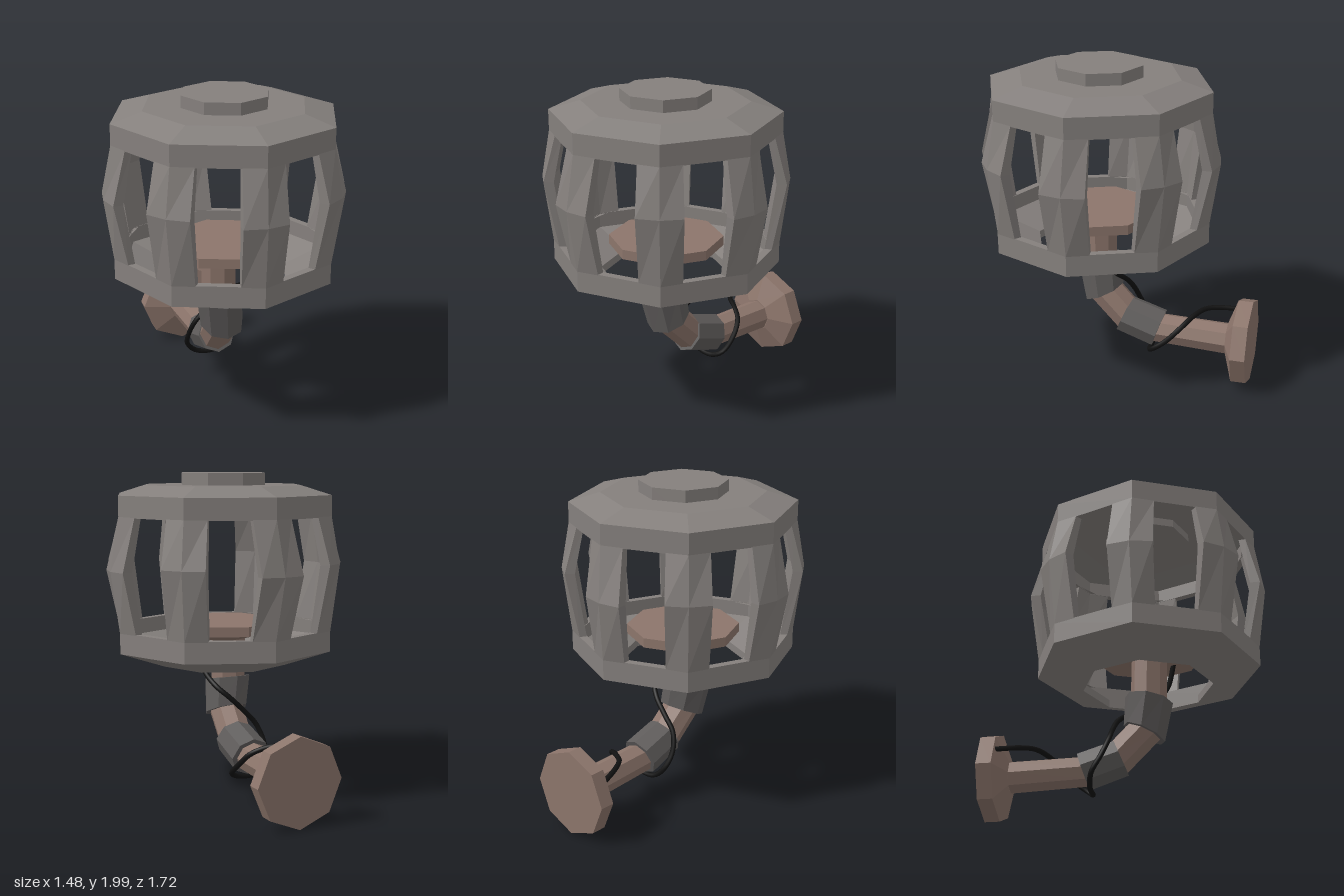
import * as THREE from 'three';

const CAGE_Z = 0.12;
const mat = (color) => new THREE.MeshStandardMaterial({ color, flatShading: true });
const V = (x, y, z) => new THREE.Vector3(x, y, z);

// Solid through a list of rings (each counter-clockwise about the travel direction), capped at both ends
function loft(rings) {
  const pos = [];
  const tri = (...pts) => pts.forEach((p) => pos.push(p.x, p.y, p.z));
  const n = rings[0].length;
  for (let k = 0; k < rings.length - 1; k++) {
    const a = rings[k], b = rings[k + 1];
    for (let i = 0; i < n; i++) {
      const j = (i + 1) % n;
      tri(a[i], a[j], b[j]);
      tri(a[i], b[j], b[i]);
    }
  }
  const first = rings[0], last = rings[rings.length - 1];
  for (let i = 1; i < n - 1; i++) {
    tri(first[0], first[i + 1], first[i]);
    tri(last[0], last[i], last[i + 1]);
  }
  const g = new THREE.BufferGeometry();
  g.setAttribute('position', new THREE.Float32BufferAttribute(pos, 3));
  g.computeVertexNormals();
  return g;
}

// Octagonal ring; tilt 0 travels straight down, 90 travels straight back
function octagon(x, y, z, r, tilt) {
  const t = THREE.MathUtils.degToRad(tilt);
  return Array.from({ length: 8 }, (_, i) => {
    const a = (i * Math.PI) / 4, v = r * Math.sin(a);
    return V(x + r * Math.cos(a), y - v * Math.sin(t), z + v * Math.cos(t));
  });
}

// Eight-sided turned part
const turned = (profile) =>
  new THREE.LatheGeometry(profile.map(([r, y]) => new THREE.Vector2(r, y)), 8);

// One bent cage bar at angle a, shift slides its belly sideways
function barGeometry(a, shift, midY) {
  const R = V(Math.sin(a), 0, Math.cos(a));
  const T = V(Math.cos(a), 0, -Math.sin(a));
  const ring = (y, half, mid, side, inMid, inSide, s) =>
    [[-half, side], [0, mid], [half, side], [half - 0.005, inSide], [0, inMid], [-half + 0.005, inSide]]
      .map(([t, r]) => V(0, y, 0).addScaledVector(R, r).addScaledVector(T, t + s));
  return loft([
    ring(1.045, 0.125, 0.69, 0.638, 0.64, 0.595, 0),
    ring(midY, 0.135, 0.742, 0.716, 0.68, 0.655, shift),
    ring(1.745, 0.125, 0.69, 0.638, 0.64, 0.595, 0),
  ]);
}

export function createModel() {
  const model = new THREE.Group();
  model.name = 'wallLantern';
  const metal = mat(0x85807d), brown = mat(0x8c756b), dark = mat(0x5f5c5b);
  const add = (name, geometry, material, parent = model) => {
    const m = new THREE.Mesh(geometry, material);
    m.name = name;
    parent.add(m);
    return m;
  };

  // Cage: roof, cap, lower ring and eight bars
  const cage = new THREE.Group();
  cage.name = 'cage';
  cage.position.z = CAGE_Z;
  model.add(cage);
  add('roof', turned([
    [0, 1.88], [0.48, 1.88], [0.64, 1.83], [0.64, 1.74], [0.69, 1.74], [0.69, 1.87], [0.5, 1.927], [0, 1.927],
  ]), metal, cage);
  add('roofCap', turned([[0, 1.83], [0.27, 1.83], [0.27, 2], [0, 2]]), metal, cage);
  add('lowerRing', turned([
    [0.4, 0.82], [0.69, 0.92], [0.69, 1.05], [0.64, 1.05], [0.64, 0.955], [0.4, 0.87], [0.4, 0.82],
  ]), metal, cage);
  const shifts = [-0.01, 0, -0.01, 0.005, 0.03, 0, -0.01, 0];
  shifts.forEach((s, i) =>
    add('cageBar' + (i + 1), barGeometry((i * Math.PI) / 4, s, i % 2 ? 1.46 : 1.42), metal, cage));

  // Plate inside the cage
  add('lampPlate', turned([
    [0, 0.97], [0.12, 0.97], [0.35, 1.025], [0.35, 1.085], [0, 1.085],
  ]), brown, cage);

  // Bent arm: brown tubes with dark joint sleeves
  add('upperStem', loft([
    octagon(-0.045, 1.0, 0.135, 0.11, 0), octagon(-0.04, 0.7, 0.13, 0.11, 8),
  ]), brown);
  add('upperJoint', loft([
    octagon(-0.035, 0.717, 0.13, 0.148, 11), octagon(-0.01, 0.515, 0.097, 0.138, 25),
  ]), dark);
  add('middleTube', loft([
    octagon(-0.01, 0.54, 0.11, 0.108, 40), octagon(0.005, 0.35, -0.08, 0.108, 55),
  ]), brown);
  add('lowerJoint', loft([
    octagon(0.005, 0.37, -0.045, 0.122, 67), octagon(0.005, 0.295, -0.27, 0.125, 71),
  ]), dark);
  add('lowerArm', loft([
    octagon(0.003, 0.295, -0.24, 0.095, 86), octagon(0, 0.278, -0.72, 0.1, 90),
  ]), brown);

  // Wall plate
  add('wallPlate', loft([
    octagon(0, 0.28, -0.71, 0.105, 90),
    octagon(0, 0.28, -0.77, 0.272, 90),
    octagon(0, 0.28, -0.862, 0.272, 90),
  ]), brown);

  // Cable from lamp plate, round the arm, to the wall plate
  const path = new THREE.CatmullRomCurve3([
    V(0.06, 1.02, 0.28), V(0.11, 0.84, 0.22), V(0.13, 0.76, 0.1), V(0.11, 0.69, -0.02),
    V(0.05, 0.63, -0.07), V(-0.04, 0.54, -0.09), V(-0.12, 0.45, -0.1), V(-0.155, 0.34, -0.14),
    V(-0.14, 0.24, -0.2), V(-0.07, 0.175, -0.22), V(0.05, 0.165, -0.22), V(0.125, 0.2, -0.25),
    V(0.13, 0.27, -0.34), V(0.09, 0.36, -0.43), V(0, 0.405, -0.49), V(-0.1, 0.415, -0.55),
    V(-0.15, 0.41, -0.63), V(-0.2, 0.39, -0.78),
  ]);
  const cableMat = new THREE.MeshStandardMaterial({ color: 0x111111 });
  add('cable', new THREE.TubeGeometry(path, 90, 0.016, 8), cableMat);

  return model;
}
